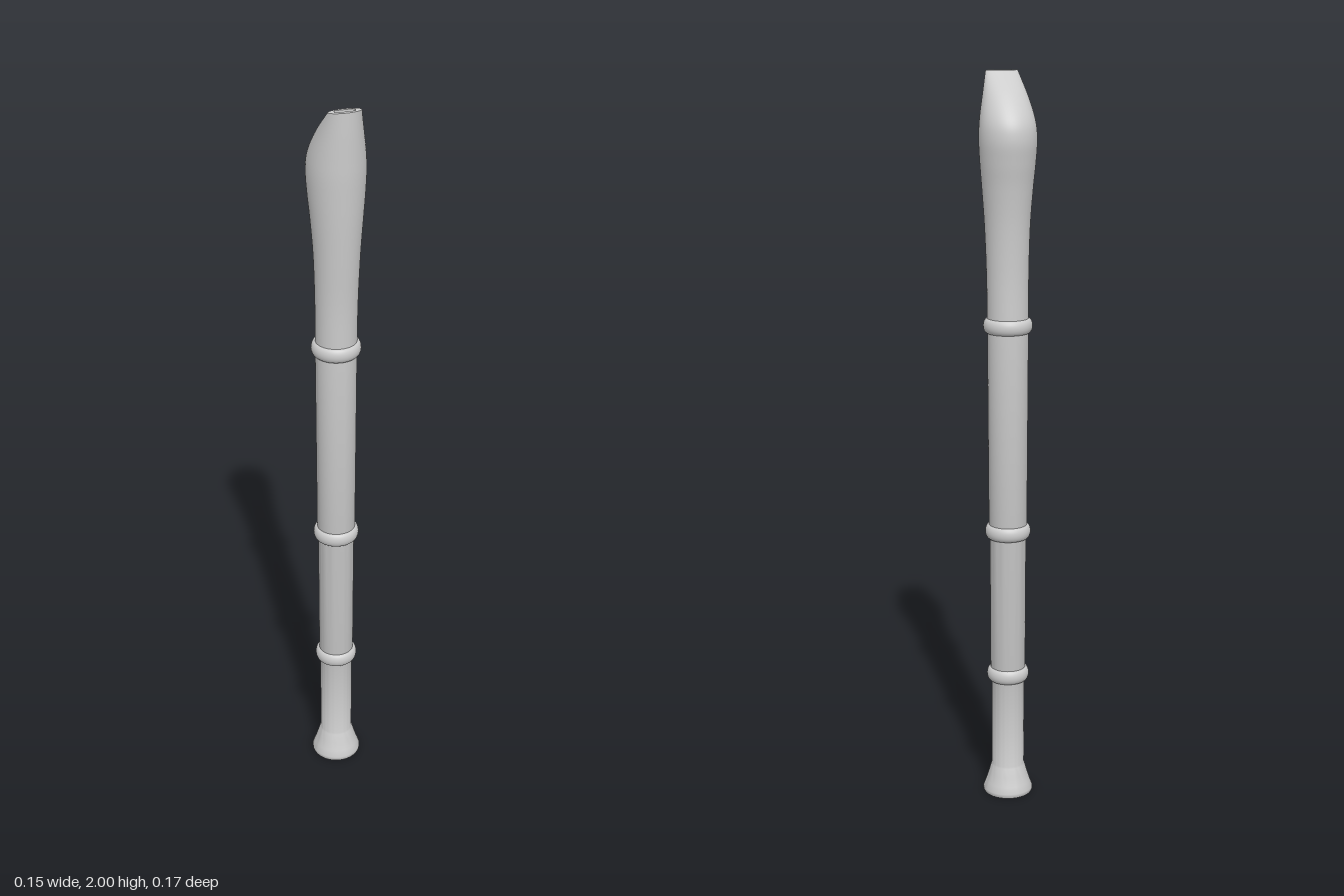
import * as THREE from 'three';
import { toCreasedNormals } from 'three/addons/utils/BufferGeometryUtils.js';

const v2 = (pairs) => pairs.map(([x, y]) => new THREE.Vector2(x, y));

// Surface through rings of points; each ring runs counter-clockwise seen from above, bottom ring first
function loft(rings) {
  const n = rings[0].length, pos = [], idx = [];
  rings.forEach((ring) => ring.forEach((p) => pos.push(p.x, p.y, p.z)));
  for (let i = 0; i < rings.length - 1; i++) {
    for (let j = 0; j < n; j++) {
      const a = i * n + j, b = i * n + (j + 1) % n;
      idx.push(a, b, a + n, b, b + n, a + n);
    }
  }
  const g = new THREE.BufferGeometry();
  g.setAttribute('position', new THREE.Float32BufferAttribute(pos, 3));
  g.setIndex(idx);
  g.computeVertexNormals();
  return g;
}

export function createModel() {
  const group = new THREE.Group();
  const grey = new THREE.MeshStandardMaterial({ color: 0xcccccc });
  const add = (name, geometry) => {
    const mesh = new THREE.Mesh(geometry, grey);
    mesh.name = name;
    group.add(mesh);
    return mesh;
  };

  // Hollow tube with flared foot: bore first, then the outer wall upwards
  const body = new THREE.LatheGeometry(v2([
    [0, 1.3], [0.022, 1.3], [0.022, 0], [0.067, 0], [0.069, 0.004], [0.069, 0.012],
    [0.062, 0.03], [0.054, 0.055], [0.047, 0.08], [0.045, 0.085],
    [0.045, 0.35], [0.048, 0.36], [0.0495, 0.77], [0.052, 0.78], [0.055, 1.36],
  ]), 48);
  add('body', toCreasedNormals(body, 0.6));

  // Rounded joint rings
  [[0.355, 0.058], [0.77, 0.062], [1.34, 0.066]].forEach(([y, r], i) => {
    const profile = [[0.04, -0.02]];
    for (let k = 0; k <= 10; k++) {
      const a = -Math.PI / 2 + (Math.PI * k) / 10;
      profile.push([r - 0.012 + 0.012 * Math.cos(a), 0.02 * Math.sin(a)]);
    }
    profile.push([0.04, 0.02]);
    add('jointRing' + (i + 1), new THREE.LatheGeometry(v2(profile), 48)).position.y = y;
  });

  // Head sections: height, half width, front z, back z
  const sections = [
    [1.34, 0.055, 0.055, -0.055], [1.47, 0.056, 0.058, -0.052], [1.6, 0.06, 0.067, -0.056],
    [1.7, 0.067, 0.074, -0.066], [1.77, 0.073, 0.078, -0.077], [1.83, 0.076, 0.081, -0.083],
    [1.88, 0.072, 0.082, -0.07], [1.94, 0.059, 0.083, -0.022], [2, 0.043, 0.083, 0.05],
  ];
  const spline = (f) => new THREE.CatmullRomCurve3(sections.map(f), false, 'catmullrom', 0.5);
  const sides = spline((s) => new THREE.Vector3(s[0], s[1], 0));
  const depths = spline((s) => new THREE.Vector3(s[2], s[3], 0));
  const rings = [];
  for (let i = 0; i <= 48; i++) {
    const s = sides.getPoint(i / 48), d = depths.getPoint(i / 48);
    const zc = (d.x + d.y) / 2, rz = (d.x - d.y) / 2;
    rings.push(Array.from({ length: 48 }, (_, j) => {
      const a = (j / 48) * Math.PI * 2;
      return new THREE.Vector3(s.y * Math.cos(a), s.x, zc - rz * Math.sin(a));
    }));
  }
  add('head', loft(rings));

  // Rounded blow slot outline
  const w = 0.027, h = 0.007, r = 0.006, cz = 0.065;
  const slot = new THREE.Shape();
  slot.absarc(w - r, -cz - h + r, r, -Math.PI / 2, 0);
  slot.absarc(w - r, -cz + h - r, r, 0, Math.PI / 2);
  slot.absarc(-w + r, -cz + h - r, r, Math.PI / 2, Math.PI);
  slot.absarc(-w + r, -cz - h + r, r, Math.PI, Math.PI * 1.5);
  slot.closePath();

  // Flat tip around the slot
  const tip = new THREE.Shape();
  tip.absellipse(0, -0.0665, 0.043, 0.0165, 0, Math.PI * 2);
  tip.holes.push(slot);
  const lay = (shape, y) => new THREE.ShapeGeometry(shape, 24).rotateX(-Math.PI / 2).translate(0, y, 0);
  add('mouthTip', lay(tip, 2));

  // Slot walls, facing inwards, and floor
  const outline = slot.getPoints(8).slice(0, -1).reverse();
  const slotRing = (y) => outline.map((p) => new THREE.Vector3(p.x, y, -p.y));
  add('slotWalls', loft([slotRing(1.9), slotRing(2)]));
  add('slotFloor', lay(slot, 1.9));

  return group;
}
